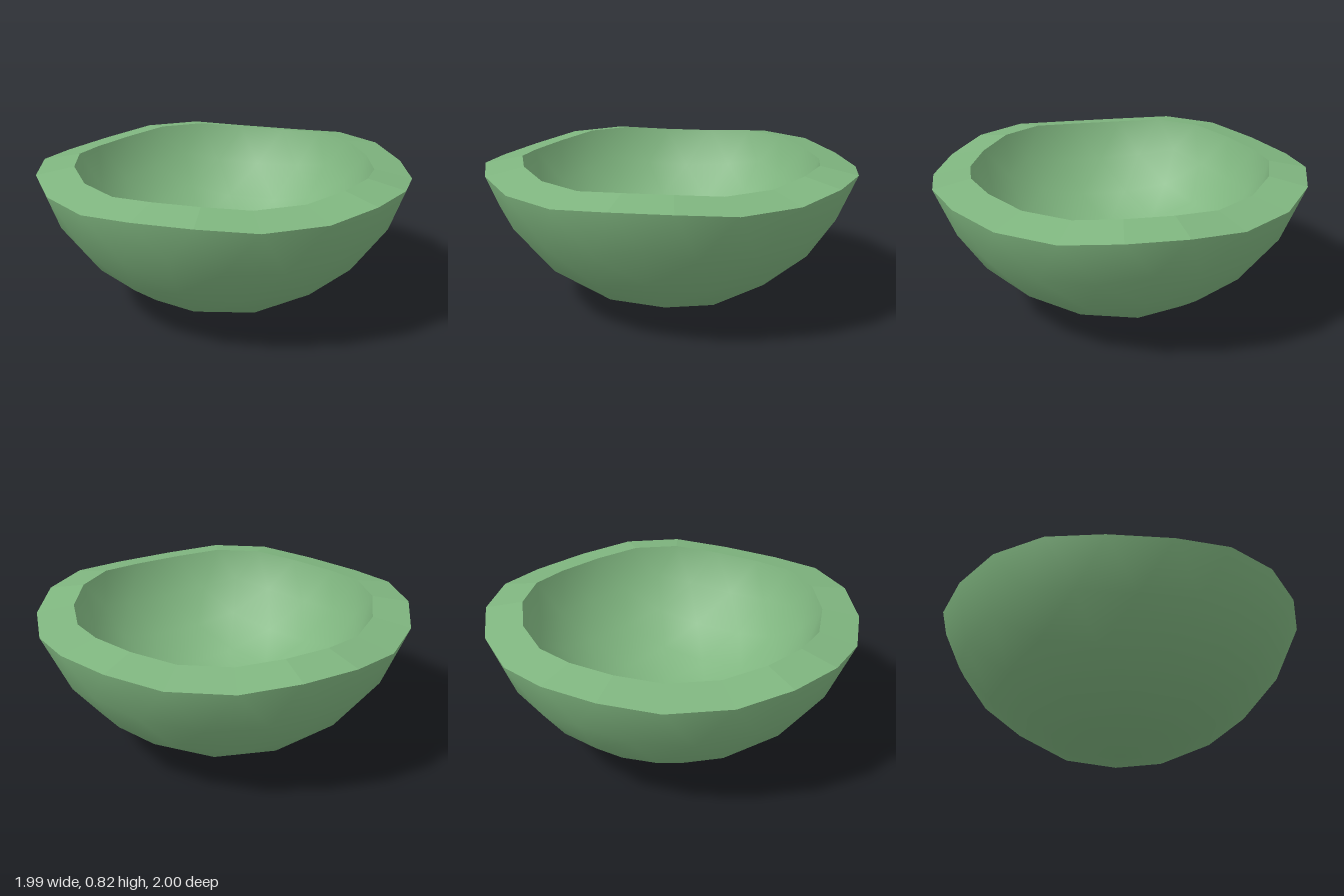
import * as THREE from 'three';

const R = 1.045;          // outer radius
const INNER = 0.8;        // inner shell relative to the outer one
const DROP = -0.015;      // inner shell sits slightly lower

const outerPoint = (d) => new THREE.Vector3(d.x * R, R + d.y * R, d.z * R);
const innerPoint = (d) => outerPoint(d).sub(new THREE.Vector3(0, R, 0)).multiplyScalar(INNER).add(new THREE.Vector3(0, R + DROP, 0));

// Lower cap of an icosphere with one corner straight down, as triangles of unit directions
function capTriangles() {
  const sphere = new THREE.IcosahedronGeometry(1, 3);
  sphere.rotateZ(-Math.atan(2 / (1 + Math.sqrt(5))));
  const pos = sphere.attributes.position;
  const triangles = [];
  for (let i = 0; i < pos.count; i += 3) {
    const tri = [0, 1, 2].map((k) => new THREE.Vector3().fromBufferAttribute(pos, i + k));
    if (tri.every((v) => v.y < -0.1)) triangles.push(tri);
  }
  return triangles;
}

// The twenty directions along the cut edge, in order around the bowl
function edgeLoop(triangles) {
  const found = new Map();
  for (const v of triangles.flat()) {
    if (v.y > -0.35) found.set(Math.round(Math.atan2(v.z, v.x) * 1000), v);
  }
  return [...found.entries()].sort((a, b) => a[0] - b[0]).map((e) => e[1]);
}

function geometryFrom(points, normals) {
  const g = new THREE.BufferGeometry().setFromPoints(points);
  if (normals) g.setAttribute('normal', new THREE.Float32BufferAttribute(normals.flatMap((n) => n.toArray()), 3));
  else g.computeVertexNormals();
  return g;
}

export function createModel() {
  const group = new THREE.Group();
  group.name = 'bowl';
  const material = new THREE.MeshStandardMaterial({ color: 0x7fb57f });
  const add = (name, geometry) => {
    const mesh = new THREE.Mesh(geometry, material);
    mesh.name = name;
    group.add(mesh);
  };
  const triangles = capTriangles();

  // Smooth outer and inner shells
  const out = triangles.flat();
  add('outerShell', geometryFrom(out.map(outerPoint), out));
  const inn = triangles.flatMap(([a, b, c]) => [a, c, b]);
  add('innerShell', geometryFrom(inn.map(innerPoint), inn.map((d) => d.clone().negate())));

  // Faceted rim joining the two shells
  const loop = edgeLoop(triangles);
  const rim = [];
  loop.forEach((d, i) => {
    const e = loop[(i + 1) % loop.length];
    const [p, q, s, t] = [outerPoint(d), innerPoint(d), outerPoint(e), innerPoint(e)];
    rim.push(p, q, s, q, t, s);
  });
  add('rim', geometryFrom(rim));

  // Centre the bowl
  const centre = new THREE.Box3().setFromObject(group).getCenter(new THREE.Vector3());
  group.children.forEach((m) => m.geometry.translate(-centre.x, 0, -centre.z));
  return group;
}
